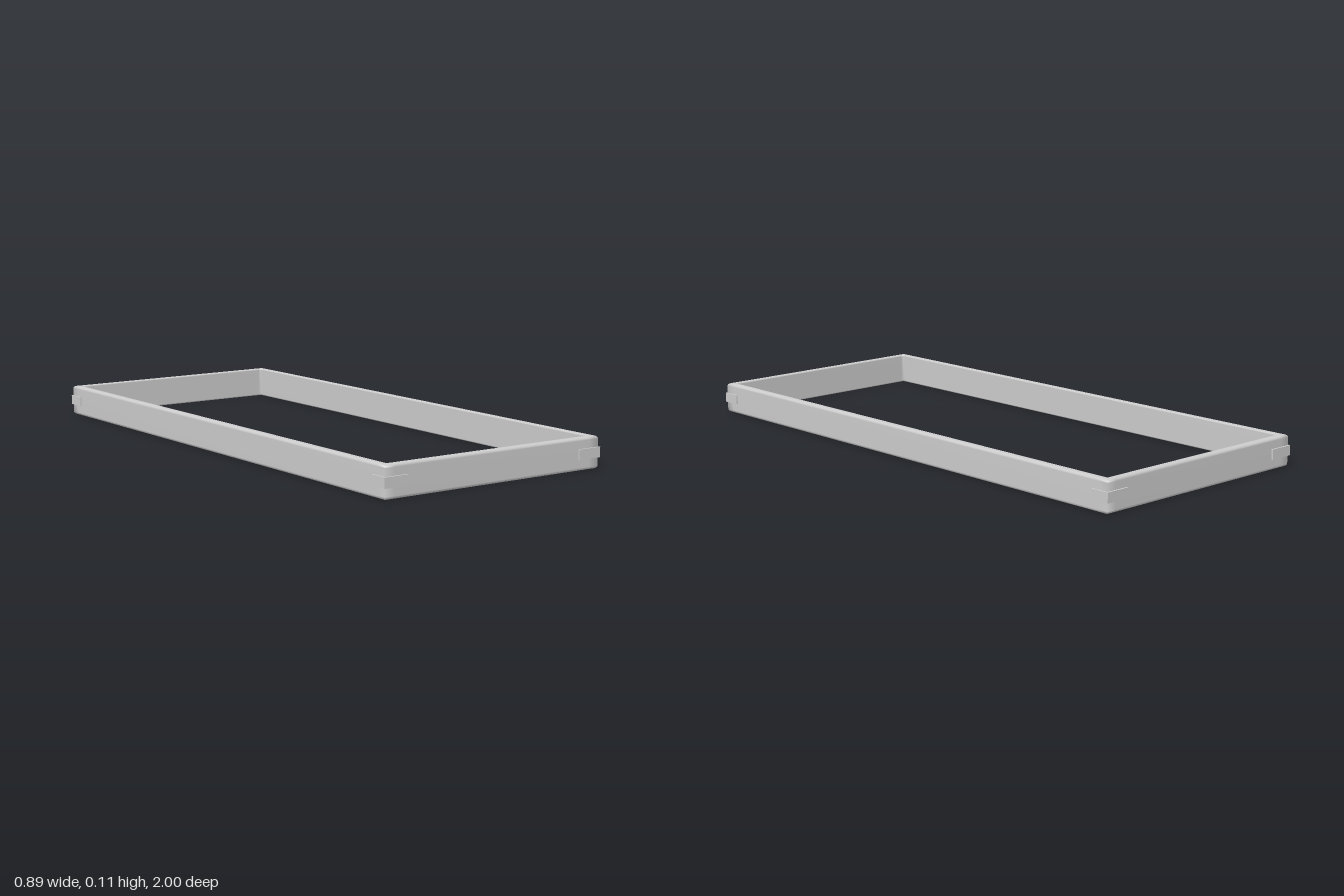
import * as THREE from 'three';

const material = new THREE.MeshStandardMaterial({ color: 0xcccccc });
const CORNERS = [[1, 1], [-1, 1], [-1, -1], [1, -1]];
const INNER_X = 0.415, INNER_Z = 0.967, WALL = 0.027, HEIGHT = 0.11;

// Wall cross-section as [outward offset, y], counter-clockwise, with rounded edges
function wallProfile() {
  const points = [];
  const fillets = [
    [WALL, 0, 0.01, -1, 1, -90], [WALL, HEIGHT, 0.01, -1, -1, 0],
    [0, HEIGHT, 0.005, 1, -1, 90], [0, 0, 0.005, 1, 1, 180],
  ];
  for (const [d, y, r, sd, sy, start] of fillets) {
    for (let k = 0; k <= 4; k++) {
      const a = THREE.MathUtils.degToRad(start + k * 22.5);
      points.push([d + sd * r + r * Math.cos(a), y + sy * r + r * Math.sin(a)]);
    }
  }
  return points;
}

// Sweep the cross-section around the rectangle with mitred corners
function frameGeometry() {
  const profile = wallProfile(), n = profile.length;
  const positions = [], index = [];
  const inset = 0.012;
  CORNERS.forEach(([sx, sz], c) => {
    const onSide = (d) => [INNER_X + d, INNER_Z - inset];
    const onCorner = (d) => [INNER_X + d, INNER_Z + d];
    const onEnd = (d) => [INNER_X - inset, INNER_Z + d];
    const stations = c % 2 === 0 ? [onSide, onCorner, onEnd] : [onEnd, onCorner, onSide];
    for (const station of stations) {
      for (const [d, y] of profile) {
        const [x, z] = station(d);
        positions.push(sx * x, y, sz * z);
      }
    }
  });
  const rings = CORNERS.length * 3;
  for (let j = 0; j < rings; j++) {
    const here = j * n, next = ((j + 1) % rings) * n;
    for (let i = 0; i < n; i++) {
      const k = (i + 1) % n;
      index.push(here + i, here + k, next + k, here + i, next + k, next + i);
    }
  }
  const geometry = new THREE.BufferGeometry();
  geometry.setAttribute('position', new THREE.Float32BufferAttribute(positions, 3));
  geometry.setIndex(index);
  geometry.computeVertexNormals();
  return geometry;
}

// Thin L-shaped strip wrapping one outside corner
function bracketGeometry(sx, sz) {
  const outline = [
    [0.447, 1], [0.355, 1], [0.355, 0.988], [0.436, 0.988], [0.436, 0.93], [0.447, 0.93],
  ].map(([x, z]) => new THREE.Vector2(sx * x, -sz * z));
  const geometry = new THREE.ExtrudeGeometry(new THREE.Shape(outline), {
    depth: 0.035, bevelEnabled: false,
  });
  return geometry.rotateX(-Math.PI / 2).translate(0, 0.038, 0);
}

export function createModel() {
  const model = new THREE.Group();
  model.name = 'rectangularFrame';

  const frame = new THREE.Mesh(frameGeometry(), material);
  frame.name = 'frame';
  model.add(frame);

  for (const [sx, sz] of CORNERS) {
    const bracket = new THREE.Mesh(bracketGeometry(sx, sz), material);
    bracket.name = `${sz > 0 ? 'front' : 'back'}${sx > 0 ? 'Left' : 'Right'}CornerBracket`;
    model.add(bracket);
  }
  return model;
}
